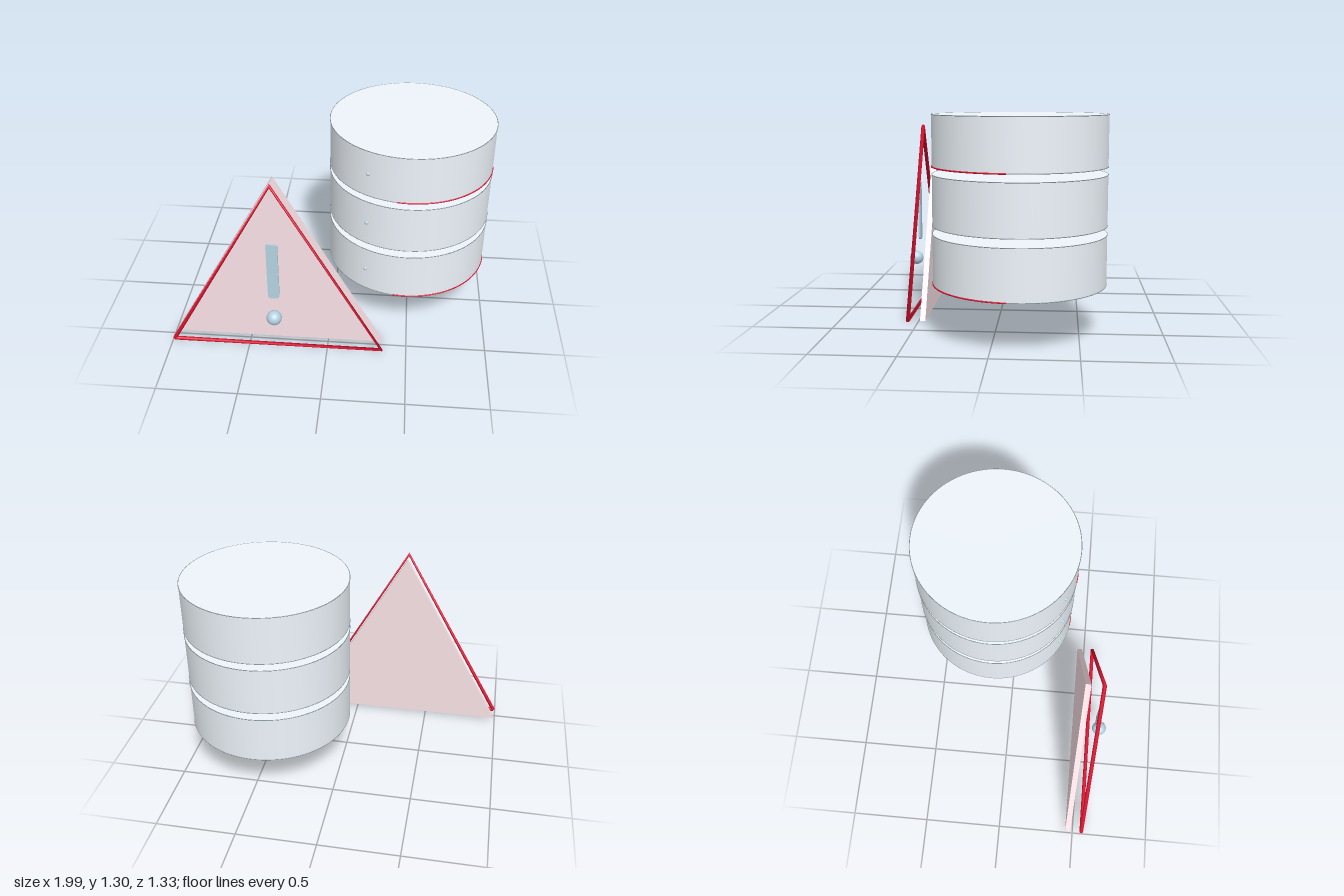
import * as THREE from 'three';

const mat = (color, side = THREE.FrontSide) => new THREE.MeshStandardMaterial({ color, side });

// Closed outline of straight edges, one third of the range per edge
class OutlineCurve extends THREE.Curve {
  constructor(points) {
    super();
    this.points = points;
  }
  getPoint(t, target = new THREE.Vector3()) {
    const n = this.points.length;
    const i = Math.min(Math.floor(t * n), n - 1);
    return target.lerpVectors(this.points[i], this.points[(i + 1) % n], t * n - i);
  }
  getPointAt(u, target) { return this.getPoint(u, target); }
  getTangentAt(u, target) { return this.getTangent(u, target); }
}

export function createModel() {
  const model = new THREE.Group();
  const steel = mat(0xeef5fb, THREE.DoubleSide);
  const rimGrey = mat(0x87969a);
  const red = mat(0xd8112f);
  const blue = mat(0xb6d3e3);
  const pink = mat(0xfae3e7);

  const add = (parent, name, geometry, material, x = 0, y = 0, z = 0) => {
    const mesh = new THREE.Mesh(geometry, material);
    mesh.name = name;
    mesh.position.set(x, y, z);
    parent.add(mesh);
    return mesh;
  };

  // Stack of three drums, closed on top and open below
  const R = 0.515, H = 0.3, wall = 0.012;
  const lathe = (pts) => new THREE.LatheGeometry(pts.map(([r, y]) => new THREE.Vector2(r, y)), 96);
  const ring = (tube, arc = Math.PI * 2) =>
    new THREE.TorusGeometry(R, tube, 8, 96, arc).rotateX(Math.PI / 2);

  const stack = new THREE.Group();
  stack.name = 'drumStack';
  stack.position.set(0.477, 0, -0.144);
  model.add(stack);

  [0.31, 0.66, 1.005].forEach((y, i) => {
    const drum = new THREE.Group();
    drum.name = `drum${i + 1}`;
    drum.position.y = y;
    stack.add(drum);
    add(drum, 'outerWall', lathe([[R, 0], [R, H]]), steel);
    add(drum, 'innerWall', lathe([[R - wall, H - 0.005], [R - wall, 0]]), steel);
    add(drum, 'bottomLip', lathe([[R - wall, 0], [R, 0]]), steel);
    add(drum, 'lid', new THREE.CylinderGeometry(R, R, 0.005, 96), steel, 0, H - 0.0025);
    add(drum, 'topRim', ring(0.0025), rimGrey, 0, H - 0.001);
    add(drum, 'bottomRim', ring(0.0025), rimGrey);
    // Small indicator bead on the front
    add(drum, 'indicator', new THREE.SphereGeometry(0.012, 16, 12), blue, -0.257, 0.15, 0.447);
    // Red strip along part of the lower rim
    if (i !== 1) add(drum, 'redRimStrip', ring(0.0045, 1.63), red).rotation.y = -0.09;
  });

  // Warning sign: back panel, frame, bar and ball
  const sign = new THREE.Group();
  sign.name = 'warningSign';
  model.add(sign);
  const corners = [[-0.988, 0.015], [0.343, 0.015], [-0.322, 1.2]];
  const panel = new THREE.Shape(corners.map(([x, y]) => new THREE.Vector2(x, y)));
  add(sign, 'signPanel', new THREE.ExtrudeGeometry(panel,
    { depth: 0.034, bevelEnabled: false }), pink, 0, 0, 0.451);

  // Frame with one cross-section per corner, mitred along the path
  const outline = new OutlineCurve(corners.map(([x, y]) => new THREE.Vector3(x, y, 0.561)));
  add(sign, 'signFrame', new THREE.TubeGeometry(outline, 3, 0.0125, 16), red);

  // Exclamation bar with rounded corners
  const w = 0.035, h = 0.2, r = 0.02;
  const bar = new THREE.Shape();
  bar.absarc(w - r, h - r, r, 0, Math.PI / 2);
  bar.absarc(r - w, h - r, r, Math.PI / 2, Math.PI);
  bar.absarc(r - w, r - h, r, Math.PI, Math.PI * 1.5);
  bar.absarc(w - r, r - h, r, Math.PI * 1.5, Math.PI * 2);
  add(sign, 'exclamationBar', new THREE.ExtrudeGeometry(bar,
    { depth: 0.014, bevelEnabled: false, curveSegments: 8 }), blue, -0.322, 0.618, 0.583);
  add(sign, 'exclamationBall', new THREE.SphereGeometry(0.047, 32, 24), blue, -0.322, 0.284, 0.619);

  return model;
}
